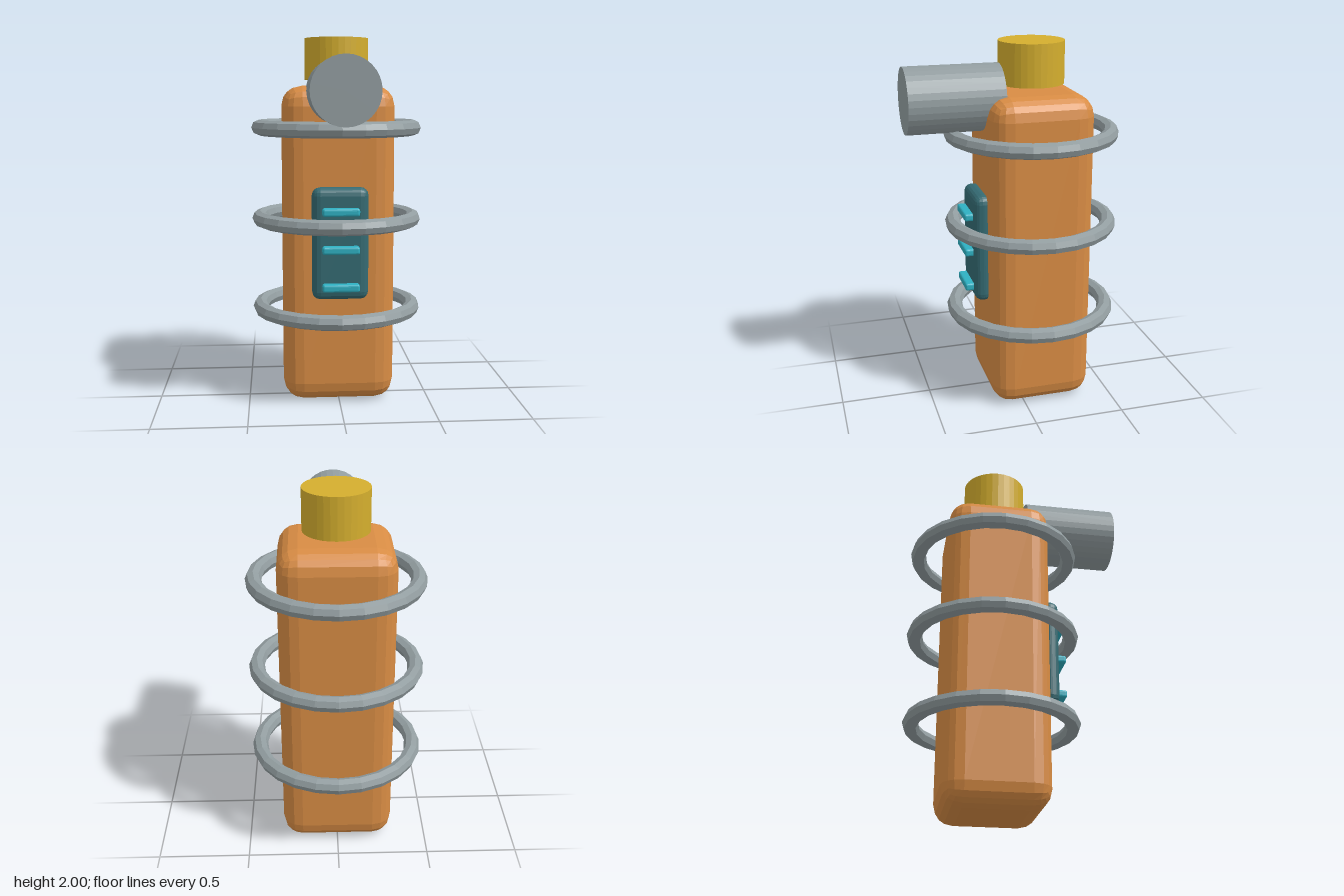
import * as THREE from 'three';
import { RoundedBoxGeometry } from 'three/addons/geometries/RoundedBoxGeometry.js';

const mat = (name, color) => {
  const m = new THREE.MeshStandardMaterial({ color, flatShading: true });
  m.name = name;
  return m;
};

export function createModel() {
  const group = new THREE.Group();
  const orange = mat('orange', 0xd88c44);
  const steel = mat('steel grey', 0x929da0);
  const brass = mat('brass yellow', 0xd4ae2e);
  const teal = mat('dark teal', 0x346a72);
  const cyan = mat('cyan', 0x2eb0c2);
  const axisZ = -0.105; // the tank's vertical axis

  const add = (name, geometry, material, x, y, z) => {
    const mesh = new THREE.Mesh(geometry, material);
    mesh.name = name;
    mesh.position.set(x, y, z);
    group.add(mesh);
    return mesh;
  };

  // Rounded tank body
  add('tankBody', new RoundedBoxGeometry(0.613, 1.743, 0.563, 2, 0.11), orange, 0, 0.868, axisZ);

  // Cap above the tank, and the nozzle pointing forward
  add('cap', new THREE.CylinderGeometry(0.177, 0.177, 0.226, 32), brass, 0, 1.887, axisZ);
  const nozzle = add('nozzle', new THREE.CylinderGeometry(0.177, 0.177, 0.51, 32), steel, 0, 1.71, 0.328);
  nozzle.rotation.x = Math.PI / 2;

  // Guard rings around the tank
  [0.49, 1.0, 1.51].forEach((y, i) => {
    const ring = add('guardRing' + (i + 1), new THREE.TorusGeometry(0.434, 0.043, 8, 24), steel, 0, y, axisZ);
    ring.rotation.x = Math.PI / 2;
  });

  // Control panel with three raised bars
  add('controlPanel', new RoundedBoxGeometry(0.305, 0.61, 0.1, 2, 0.045), teal, 0, 0.897, 0.196);
  [0.667, 0.871, 1.075].forEach((y, i) => {
    add('panelBar' + (i + 1), new RoundedBoxGeometry(0.2, 0.042, 0.06, 2, 0.012), cyan, 0, y, 0.262);
  });

  return group;
}
